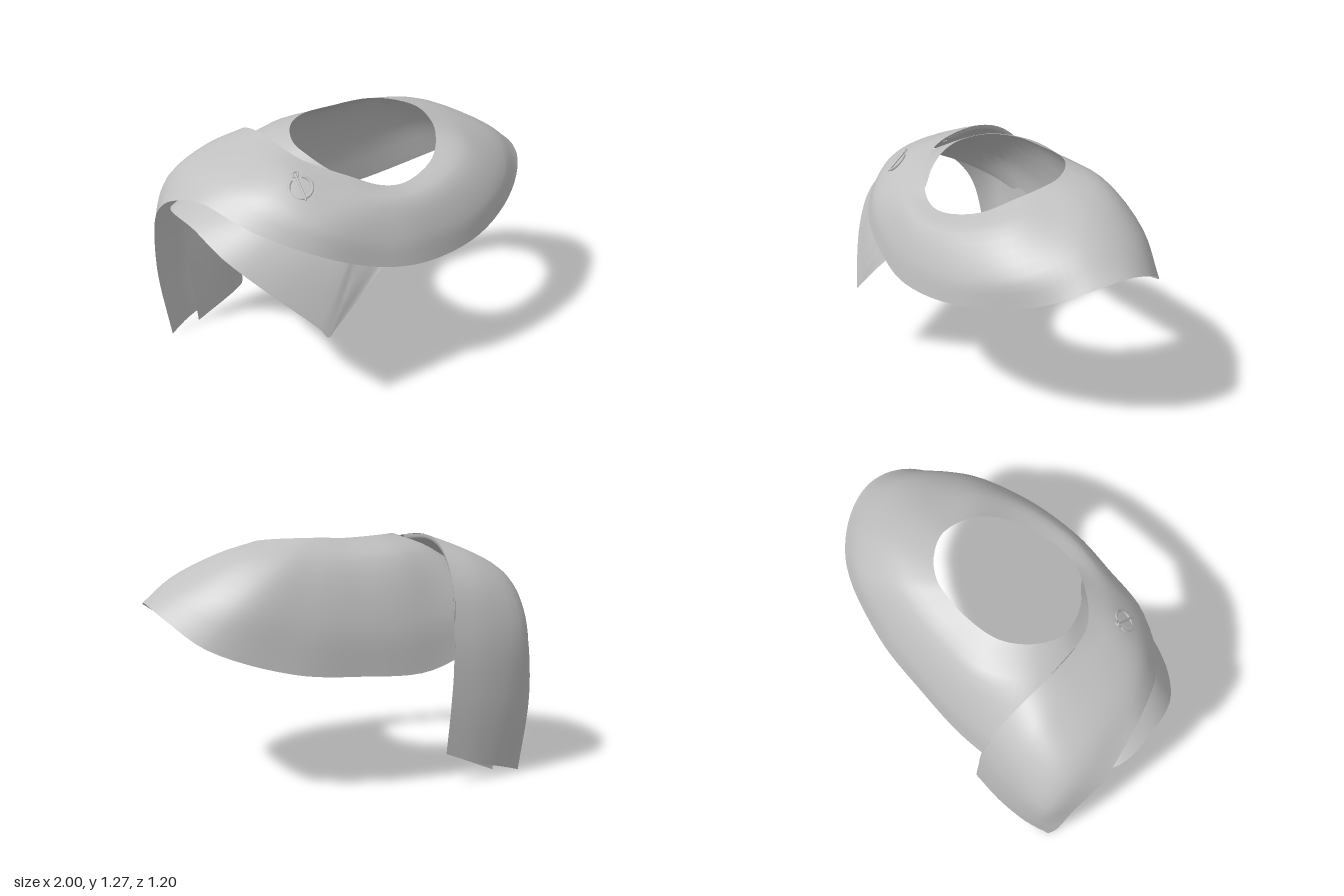
import * as THREE from 'three';

const cloth = new THREE.MeshStandardMaterial({ color: 0xc0c0c0, side: THREE.DoubleSide });
cloth.name = 'grey cloth';

const V = (p) => new THREE.Vector3(...p);

// Smooth sheet through a list of cross-sections (each a list of points).
function sheet(name, sections, nu, nv) {
  const across = sections.map((s) => new THREE.CatmullRomCurve3(s.map(V), false, 'centripetal'));
  const rows = [];
  for (let j = 0; j <= nv; j++) {
    rows.push(new THREE.CatmullRomCurve3(across.map((c) => c.getPoint(j / nv)), false, 'centripetal'));
  }
  const pos = [];
  const idx = [];
  for (let i = 0; i <= nu; i++) {
    for (let j = 0; j <= nv; j++) {
      pos.push(...rows[j].getPoint(i / nu).toArray());
      if (i === nu || j === nv) continue;
      const a = i * (nv + 1) + j;
      const b = a + nv + 1;
      idx.push(a, a + 1, b, b, a + 1, b + 1);
    }
  }
  const g = new THREE.BufferGeometry();
  g.setAttribute('position', new THREE.Float32BufferAttribute(pos, 3));
  g.setIndex(idx);
  g.computeVertexNormals();
  const m = new THREE.Mesh(g, cloth);
  m.name = name;
  return m;
}

// One long cloth wound around the neck; each section runs from inner edge to outer hem.
// Tail hanging down the back, up and over the right shoulder to the front
const scarf = [
  [[-0.42, 0.17, -0.6], [-0.6, 0.1, -0.59], [-0.78, 0.05, -0.555], [-0.91, 0.005, -0.5]],
  [[-0.45, 0.5, -0.6], [-0.65, 0.47, -0.6], [-0.86, 0.43, -0.565], [-0.965, 0.4, -0.5]],
  [[-0.465, 0.8, -0.575], [-0.68, 0.8, -0.58], [-0.9, 0.76, -0.545], [-0.985, 0.7, -0.44]],
  [[-0.485, 1.05, -0.5], [-0.68, 1.02, -0.51], [-0.9, 0.92, -0.48], [-0.995, 0.83, -0.36]],
  [[-0.5, 1.2, -0.36], [-0.67, 1.155, -0.38], [-0.88, 1.04, -0.38], [-1, 0.92, -0.26]],
  [[-0.5, 1.255, -0.2], [-0.65, 1.2, -0.2], [-0.85, 1.105, -0.2], [-0.98, 0.98, -0.17]],
  [[-0.47, 1.24, 0.03], [-0.6, 1.2, 0.08], [-0.77, 1.125, 0.1], [-0.91, 1.04, 0.05]],
  [[-0.41, 1.2, 0.17], [-0.52, 1.17, 0.26], [-0.66, 1.09, 0.31], [-0.78, 0.97, 0.31]],
  [[-0.24, 1.135, 0.31], [-0.36, 1.09, 0.4], [-0.48, 0.98, 0.485], [-0.53, 0.86, 0.505]],
  [[-0.09, 1.075, 0.375], [-0.14, 1.04, 0.475], [-0.19, 0.87, 0.555], [-0.22, 0.745, 0.575]],
];

// Front and left side
const frontLeft = [
  [[0.05, 1.06, 0.38], [0.05, 1.02, 0.49], [0.05, 0.86, 0.57], [0.05, 0.71, 0.595]],
  [[0.27, 1.11, 0.29], [0.33, 1.05, 0.42], [0.4, 0.87, 0.51], [0.42, 0.735, 0.525]],
  [[0.38, 1.19, 0.15], [0.52, 1.12, 0.27], [0.7, 0.95, 0.34], [0.79, 0.82, 0.31]],
  [[0.41, 1.23, 0.02], [0.6, 1.17, 0.05], [0.83, 1.05, 0.1], [0.96, 0.92, 0.12]],
  [[0.4, 1.25, -0.08], [0.61, 1.195, -0.1], [0.85, 1.07, -0.08], [1, 0.955, -0.07]],
  [[0.32, 1.265, -0.19], [0.55, 1.2, -0.27], [0.79, 1.04, -0.29], [0.95, 0.9, -0.26]],
  [[0.22, 1.27, -0.25], [0.39, 1.19, -0.38], [0.62, 0.98, -0.46], [0.79, 0.77, -0.44]],
];

// Back, passing under the tail
const back = [
  [[0.13, 1.27, -0.265], [0.22, 1.165, -0.42], [0.32, 0.9, -0.53], [0.4, 0.645, -0.555]],
  [[0.02, 1.265, -0.27], [0.03, 1.155, -0.43], [0.05, 0.86, -0.55], [0.05, 0.61, -0.575]],
  [[-0.2, 1.27, -0.23], [-0.27, 1.175, -0.41], [-0.32, 0.87, -0.54], [-0.35, 0.61, -0.57]],
  [[-0.33, 1.265, -0.12], [-0.48, 1.19, -0.27], [-0.65, 0.98, -0.43], [-0.74, 0.78, -0.49]],
];

// Pointed end emerging under the scarf at the front right
const flap = [
  [[-0.385, 1.235, 0.02], [-0.53, 1.18, -0.05], [-0.79, 1.05, -0.12], [-0.995, 0.945, -0.15]],
  [[-0.36, 1.2, 0.13], [-0.53, 1.14, 0.1], [-0.78, 1.03, 0.1], [-0.98, 0.94, 0.1]],
  [[-0.3, 1.15, 0.23], [-0.48, 1.09, 0.27], [-0.72, 0.98, 0.29], [-0.92, 0.85, 0.29]],
  [[-0.22, 1.1, 0.31], [-0.4, 0.99, 0.4], [-0.6, 0.86, 0.44], [-0.78, 0.71, 0.44]],
  [[-0.15, 1.04, 0.4], [-0.3, 0.9, 0.49], [-0.43, 0.71, 0.555], [-0.56, 0.5, 0.58]],
  [[-0.14, 1.03, 0.41], [-0.28, 0.88, 0.5], [-0.4, 0.68, 0.565], [-0.52, 0.45, 0.6]],
  [[-0.13, 1.02, 0.42], [-0.26, 0.865, 0.505], [-0.37, 0.68, 0.57], [-0.48, 0.485, 0.597]],
  [[-0.07, 0.98, 0.47], [-0.14, 0.87, 0.52], [-0.21, 0.76, 0.555], [-0.26, 0.685, 0.58]],
  [[0, 0.92, 0.52], [-0.003, 0.917, 0.522], [-0.006, 0.913, 0.524], [-0.01, 0.91, 0.525]],
];

// Turned-under inner edge of the scarf on the shoulder
const lip = scarf.slice(2, 7).map(([[x, y, z]]) => [[x - 0.04, y - 0.04, z + 0.015], [x - 0.005, y - 0.025, z + 0.005], [x, y, z]]);

// Second layer folded inside the hanging tail
const fold = [
  [[-0.48, 0.95, -0.545], [-0.51, 0.95, -0.53], [-0.79, 0.93, -0.48]],
  [[-0.465, 0.75, -0.585], [-0.5, 0.75, -0.55], [-0.79, 0.73, -0.51]],
  [[-0.45, 0.5, -0.6], [-0.48, 0.49, -0.555], [-0.78, 0.42, -0.515]],
  [[-0.42, 0.17, -0.6], [-0.45, 0.155, -0.565], [-0.74, 0.03, -0.52]],
];

// Open ring brooch with a pin and a small head
function brooch() {
  const group = new THREE.Group();
  group.name = 'brooch';
  const add = (name, geometry, y, z, rz = 0) => {
    const m = new THREE.Mesh(geometry, cloth);
    m.name = name;
    m.position.set(0, y, z);
    m.rotation.z = rz;
    group.add(m);
  };
  add('broochRing', new THREE.TorusGeometry(0.057, 0.007, 6, 24, Math.PI * 1.7), 0, 0, Math.PI * 0.65);
  add('broochPin', new THREE.CylinderGeometry(0.006, 0.006, 0.14, 6), 0, 0.006);
  add('broochHead', new THREE.TorusGeometry(0.014, 0.005, 6, 12), 0.07, 0.006);
  group.position.set(-0.51, 1.14, 0.325);
  group.rotation.set(-0.85, -0.35, 0);
  return group;
}

export function createModel() {
  const model = new THREE.Group();
  model.name = 'shoulderWrap';
  model.add(
    sheet('wrap', [...scarf, ...frontLeft, ...back, ...flap], 174, 12),
    sheet('scarfLip', lip, 24, 4),
    sheet('tailFold', fold, 18, 8),
    brooch(),
  );
  return model;
}
